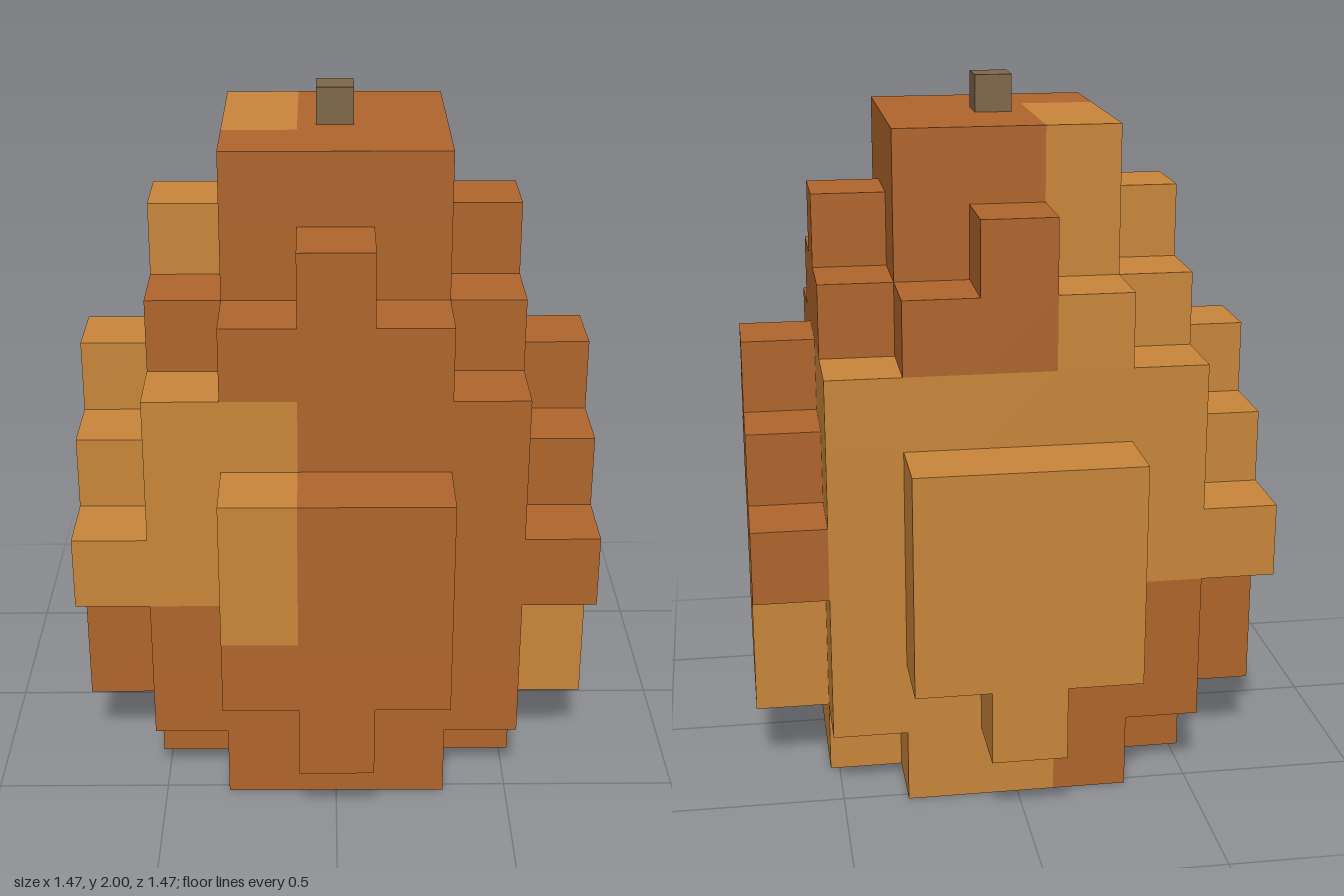
import * as THREE from 'three';
import { mergeGeometries } from 'three/addons/utils/BufferGeometryUtils.js';

const U = 2 / 9.5; // edge of one cube; the stem is half a cube

// For each layer from the ground up: reach in z (cubes) at |x| = 0, 1, 2, 3
const REACH = [
  [2, 2, 1, -1],
  [3, 2, 2, 1],
  [3, 3, 2, 1],
  [3, 3, 2, 2],
  [3, 3, 2, 1],
  [2, 2, 2, 0],
  [2, 2, 1, -1],
  [2, 1, 0, -1],
  [1, 1, -1, -1],
];

// Patches of light (1) and dark (0), three cubes wide: [tier][z band back to front][x band]
const PATCHES = [
  [[1, 1, 1], [0, 1, 1], [0, 0, 1]],
  [[1, 1, 0], [1, 1, 0], [1, 0, 0]],
  [[1, 0, 0], [1, 0, 0], [0, 0, 0]],
];
const TIERS = ['base', 'belly', 'crown'];

function filled(x, y, z) {
  if (x === 0 && y === 0 && z === 0) return false; // socket under the base
  const row = REACH[y];
  const reach = row ? row[Math.abs(x)] : undefined;
  return reach !== undefined && Math.abs(z) <= reach;
}

function isLight(x, y, z) {
  const xBand = Math.floor((x + 3) / 3);
  const zBand = Math.floor((z + 5) / 3);
  return PATCHES[Math.floor(y / 3)][zBand][xBand] === 1;
}

// The six sides of a cube: outward direction and a matching square
const SIDES = [
  [1, 0, 0], [-1, 0, 0], [0, 1, 0], [0, -1, 0], [0, 0, 1], [0, 0, -1],
].map((d) => {
  const turn = new THREE.Quaternion().setFromUnitVectors(
    new THREE.Vector3(0, 0, 1), new THREE.Vector3(...d));
  const square = new THREE.PlaneGeometry(U, U).translate(0, 0, U / 2).applyQuaternion(turn);
  return { d, square };
});

// Outer squares of one tier in one colour
function tierSkin(tier, light) {
  const faces = [];
  for (let y = tier * 3; y < tier * 3 + 3; y++) {
    for (let x = -3; x <= 3; x++) {
      for (let z = -3; z <= 3; z++) {
        if (!filled(x, y, z) || isLight(x, y, z) !== light) continue;
        for (const { d, square } of SIDES) {
          if (filled(x + d[0], y + d[1], z + d[2])) continue;
          faces.push(square.clone().translate(x * U, (y + 0.5) * U, z * U));
        }
      }
    }
  }
  return mergeGeometries(faces);
}

export function createModel() {
  const model = new THREE.Group();
  model.name = 'blockyFruit';

  const material = (name, color) => {
    const m = new THREE.MeshStandardMaterial({ color });
    m.name = name;
    return m;
  };
  const dark = material('rustOrange', 0xb0652c);
  const light = material('paleOrange', 0xc9863a);
  const bark = material('barkBrown', 0x7f6748);

  // Stepped body in three tiers, each with dark and light patches
  TIERS.forEach((name, tier) => {
    const group = new THREE.Group();
    group.name = name;
    for (const [label, isPale, mat] of [['Dark', false, dark], ['Light', true, light]]) {
      const mesh = new THREE.Mesh(tierSkin(tier, isPale), mat);
      mesh.name = `${name}${label}Patches`;
      group.add(mesh);
    }
    model.add(group);
  });

  // Stem
  const stem = new THREE.Mesh(new THREE.BoxGeometry(U / 2, U / 2, U / 2), bark);
  stem.name = 'stem';
  stem.position.y = 9.25 * U;
  model.add(stem);

  return model;
}
